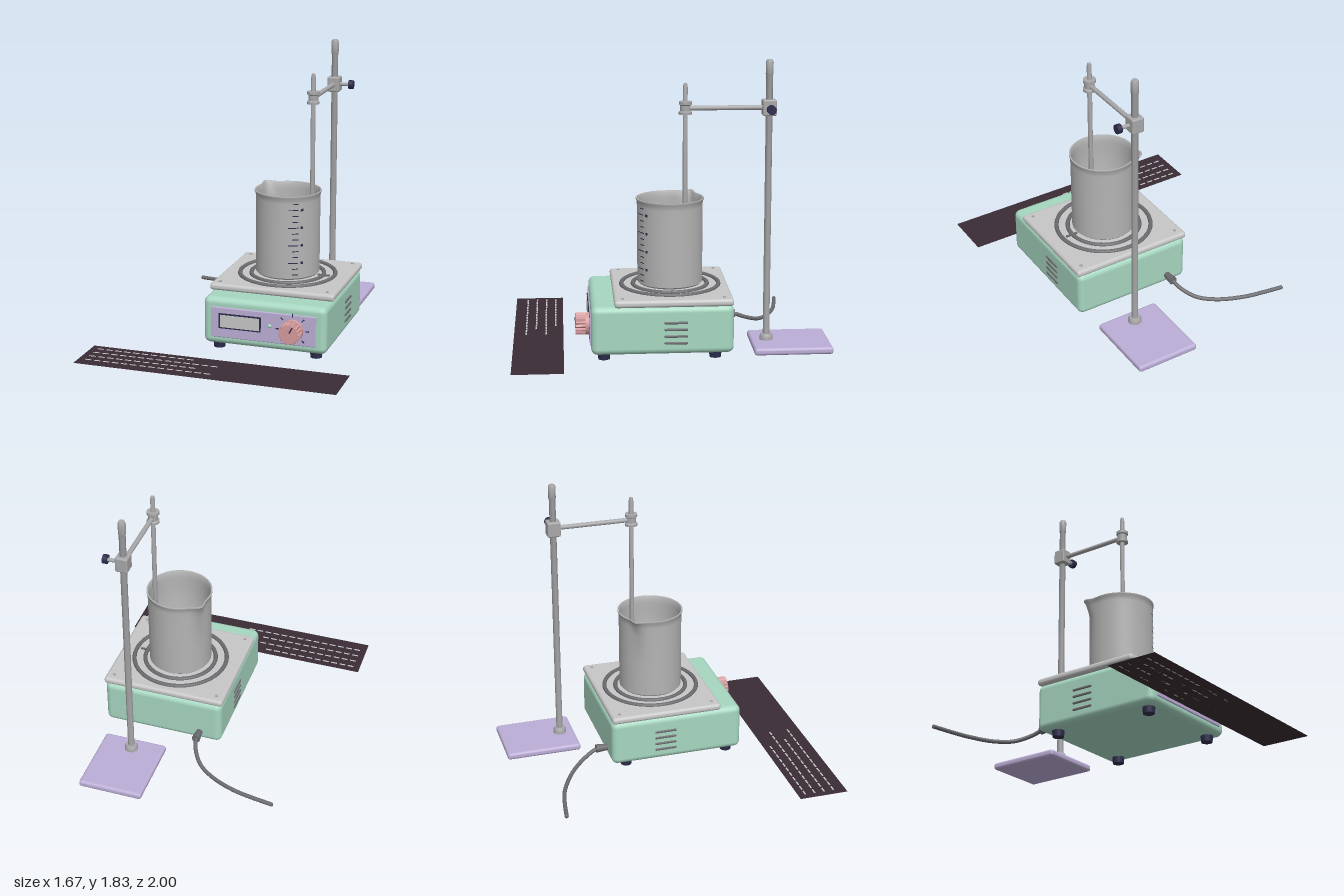
import * as THREE from 'three';
import { RoundedBoxGeometry } from 'three/addons/geometries/RoundedBoxGeometry.js';
import { toCreasedNormals } from 'three/addons/utils/BufferGeometryUtils.js';

function mat(name, color, double) {
  const m = new THREE.MeshStandardMaterial({ color });
  m.name = name;
  if (double) m.side = THREE.DoubleSide;
  return m;
}

export function createModel() {
  const root = new THREE.Group();
  root.name = 'hotplateWithBeakerAndStand';

  const mint = mat('mint', 0xa6d6c0);
  const lilac = mat('lilac', 0xbcaed6);
  const pale = mat('paleGrey', 0xc6c6c6);
  const glass = mat('beakerGrey', 0xb4b4b4, true);
  const steel = mat('steel', 0xa8a8aa);
  const dark = mat('darkGrey', 0x6c6c70);
  const navy = mat('navy', 0x2c2c4c);
  const pink = mat('pink', 0xd49a9c);
  const plum = mat('plum', 0x3a2c34, true);

  const add = (name, geo, material, x = 0, y = 0, z = 0, parent = root) => {
    const m = new THREE.Mesh(geo, material);
    m.name = name;
    m.position.set(x, y, z);
    parent.add(m);
    return m;
  };
  const group = (name, x = 0, y = 0, z = 0) => {
    const g = new THREE.Group();
    g.name = name;
    g.position.set(x, y, z);
    root.add(g);
    return g;
  };
  const box = (w, h, d) => new THREE.BoxGeometry(w, h, d);
  const rbox = (w, h, d, r) => new RoundedBoxGeometry(w, h, d, 4, r);
  const cyl = (r0, r1, h, n = 32) => new THREE.CylinderGeometry(r0, r1, h, n);
  const lathe = (pts, n = 32) => toCreasedNormals(
    new THREE.LatheGeometry(pts.map(p => new THREE.Vector2(...p)), n), 0.6);

  const CX = 0.238; // centre of the hotplate in x

  // Housing, top plate and feet
  add('housing', rbox(0.8, 0.305, 0.88, 0.04), mint, CX, 0.193, 0.07);
  add('topPlate', rbox(0.815, 0.046, 0.735, 0.02), pale, CX, 0.365, 0);
  for (const x of [-0.08, 0.555]) for (const z of [0.43, -0.26])
    add('foot', cyl(0.04, 0.036, 0.05), navy, x, 0.025, z);
  for (const x of [-0.115, 0.59]) for (const z of [-0.312, 0.315])
    add('plateScrew', cyl(0.01, 0.01, 0.006, 12), steel, x, 0.39, z);

  // Heating rings and the link between them
  for (const r of [0.308, 0.235]) {
    const ring = add('heatingRing', new THREE.TorusGeometry(r, 0.014, 10, 72), dark, CX, 0.39, 0);
    ring.rotation.x = Math.PI / 2;
  }
  add('ringLink', box(0.08, 0.012, 0.012), dark, CX + 0.24, 0.392, 0);

  // Side vents
  for (const x of [CX - 0.401, CX + 0.401]) for (let i = 0; i < 4; i++)
    add('vent', rbox(0.012, 0.015, 0.143, 0.005), dark, x, 0.115 + i * 0.043, -0.011);

  // Control panel
  const panel = group('controlPanel', 0, 0, 0.51);
  add('panelPlate', rbox(0.68, 0.198, 0.014, 0.006), lilac, 0.235, 0.189, 0, panel);
  add('displayFrame', box(0.275, 0.098, 0.016), navy, 0.083, 0.201, 0.004, panel);
  add('displayScreen', box(0.255, 0.08, 0.004), pale, 0.083, 0.201, 0.013, panel);
  add('indicatorLamp', new THREE.SphereGeometry(0.013, 16, 12), mint, 0.278, 0.2, 0.007, panel);

  // Dial with fluted grip, pointer and scale marks
  const dial = new THREE.Group();
  dial.name = 'dial';
  dial.position.set(0.425, 0.189, 0);
  panel.add(dial);
  const skirt = add('dialSkirt', cyl(0.068, 0.07, 0.025, 48), pink, 0, 0, 0.018, dial);
  skirt.rotation.x = Math.PI / 2;
  const flute = new THREE.Shape();
  for (let i = 0; i < 72; i++) {
    const a = i / 72 * Math.PI * 2, r = 0.06 + 0.004 * Math.cos(a * 18);
    flute[i ? 'lineTo' : 'moveTo'](r * Math.cos(a), r * Math.sin(a));
  }
  add('dialGrip', new THREE.ExtrudeGeometry(flute, {
    depth: 0.06, bevelEnabled: true, bevelSize: 0.004, bevelThickness: 0.004, bevelSegments: 2
  }), pink, 0, 0, 0.03, dial);
  const pointer = add('dialPointer', box(0.008, 0.042, 0.004), navy, 0.014, 0.028, 0.095, dial);
  pointer.rotation.z = -0.46;
  for (let i = -3; i <= 3; i++) {
    const a = i * Math.PI / 4;
    const mark = add('dialMark', box(0.007, 0.022, 0.004), navy,
      0.096 * Math.sin(a), 0.096 * Math.cos(a), 0.008, dial);
    mark.rotation.z = -a;
  }

  // Beaker: thin walled profile, with the lip pulled out into a spout
  const beaker = group('beaker', CX, 0, 0);
  const wall = new THREE.LatheGeometry([
    [0, 0.4], [0.195, 0.4], [0.205, 0.41], [0.206, 0.6], [0.206, 0.84], [0.207, 0.9], [0.208, 0.93],
    [0.214, 0.938], [0.214, 0.946], [0.205, 0.946], [0.199, 0.93], [0.198, 0.9], [0.198, 0.84],
    [0.198, 0.425], [0.19, 0.415], [0, 0.415]
  ].map(p => new THREE.Vector2(...p)), 96);
  const pos = wall.attributes.position;
  const spout = Math.atan2(-0.6, -0.8);
  for (let i = 0; i < pos.count; i++) {
    const x = pos.getX(i), y = pos.getY(i), z = pos.getZ(i);
    const lift = THREE.MathUtils.smoothstep(y, 0.84, 0.946);
    let d = Math.abs(Math.atan2(z, x) - spout);
    d = Math.min(d, Math.PI * 2 - d);
    const k = lift * Math.exp(-((d / 0.2) ** 2));
    pos.setXYZ(i, x * (1 + 0.18 * k), y + 0.008 * k, z * (1 + 0.18 * k));
  }
  wall.computeVertexNormals();
  add('beakerWall', toCreasedNormals(wall, 0.7), glass, 0, 0, 0, beaker);

  // Graduation marks: curved strips hugging the wall
  const strip = (name, y, a0, a1, h) => {
    const rad = THREE.MathUtils.degToRad;
    add(name, new THREE.CylinderGeometry(0.2085, 0.2085, h, 6, 1, true, rad(a0), rad(a1 - a0)),
      navy, 0, y, 0, beaker);
  };
  for (let i = 0; i < 13; i++) {
    const y = 0.435 + i * 0.0385, major = i % 3 === 2;
    strip('graduation', y, major ? 17 : 24, 35, 0.006);
    if (major) strip('graduationDot', y, 39, 44, 0.016);
  }

  // Lattice of beads on the beaker floor
  const bead = new THREE.SphereGeometry(0.017, 12, 8);
  const stud = new THREE.SphereGeometry(0.01, 8, 6);
  for (let i = 0; i < 7; i++) for (let j = 0; j < 7; j++) {
    const x = (i - 3) * 0.034, z = (j - 3) * 0.034;
    add('bead', bead, (i + j) % 2 ? lilac : steel, x, 0.432, z, beaker);
    if (i < 6 && j < 6) add('beadStud', stud, navy, x + 0.017, 0.432, z + 0.017, beaker);
  }

  // Stand: base, rod and collar
  const SX = 0.374, SZ = -0.602;
  add('standBase', rbox(0.42, 0.046, 0.495, 0.018), lilac, 0.375, 0.025, -0.7525);
  add('standCollar', lathe([[0, 0.045], [0.042, 0.045], [0.042, 0.07], [0.034, 0.085], [0, 0.085]]),
    steel, SX, 0, SZ);
  add('standRod', lathe([[0, 0.04], [0.021, 0.04], [0.021, 1.73], [0.024, 1.735], [0.024, 1.81],
    [0.018, 1.824], [0, 1.828]]), steel, SX, 0, SZ);

  // Clamp block with thumbscrew
  add('clampBlock', rbox(0.08, 0.1, 0.086, 0.01), steel, SX, 1.53, SZ);
  const screw = add('clampScrew', cyl(0.012, 0.012, 0.08, 20), steel, 0.445, 1.53, SZ);
  const knob = add('clampKnob', cyl(0.029, 0.029, 0.03, 20), navy, 0.487, 1.53, SZ);
  screw.rotation.z = knob.rotation.z = Math.PI / 2;

  // Arm, probe holder and probe
  const PZ = -0.085;
  const arm = add('clampArm', cyl(0.015, 0.015, PZ - SZ, 24), steel, SX, 1.53, (PZ + SZ) / 2);
  arm.rotation.x = Math.PI / 2;
  add('probeHolder', lathe([[0, 1.492], [0.04, 1.492], [0.04, 1.508], [0.032, 1.514], [0.032, 1.548],
    [0.04, 1.554], [0.04, 1.572], [0, 1.572]]), steel, SX, 0, PZ);
  add('probe', lathe([[0, 0.47], [0.012, 0.475], [0.015, 0.49], [0.015, 1.66], [0.011, 1.682], [0, 1.688]], 24),
    steel, SX, 0, PZ);

  // Power cord and strain relief
  const relief = add('cordRelief', cyl(0.02, 0.028, 0.085, 20), dark, -0.018, 0.105, -0.405);
  relief.rotation.x = Math.PI / 2;
  const path = new THREE.CatmullRomCurve3([
    [-0.018, 0.105, -0.4], [-0.02, 0.1, -0.45], [-0.038, 0.075, -0.51], [-0.1, 0.04, -0.6],
    [-0.205, 0.025, -0.675], [-0.365, 0.024, -0.745], [-0.5, 0.024, -0.775], [-0.642, 0.024, -0.797]
  ].map(p => new THREE.Vector3(...p)));
  add('cord', new THREE.TubeGeometry(path, 60, 0.013, 12), dark);
  const tip = add('cordTip', new THREE.SphereGeometry(0.013, 12, 8), dark, -0.642, 0.024, -0.797);
  tip.scale.x = 0.4;

  // Flat mat in front, with rows of plain dashes
  const sheet = add('mat', new THREE.PlaneGeometry(1.67, 0.32), plum, 0, 0.001, 0.838);
  sheet.rotation.x = -Math.PI / 2;
  [0.64, 0.8, 0.69, 0.8].forEach((len, row) => {
    for (let x = 0; x < len; x += 0.06)
      add('matDash', box(0.042, 0.002, 0.01), pale, -0.77 + x, 0.002, 0.727 + row * 0.064);
  });

  return root;
}
